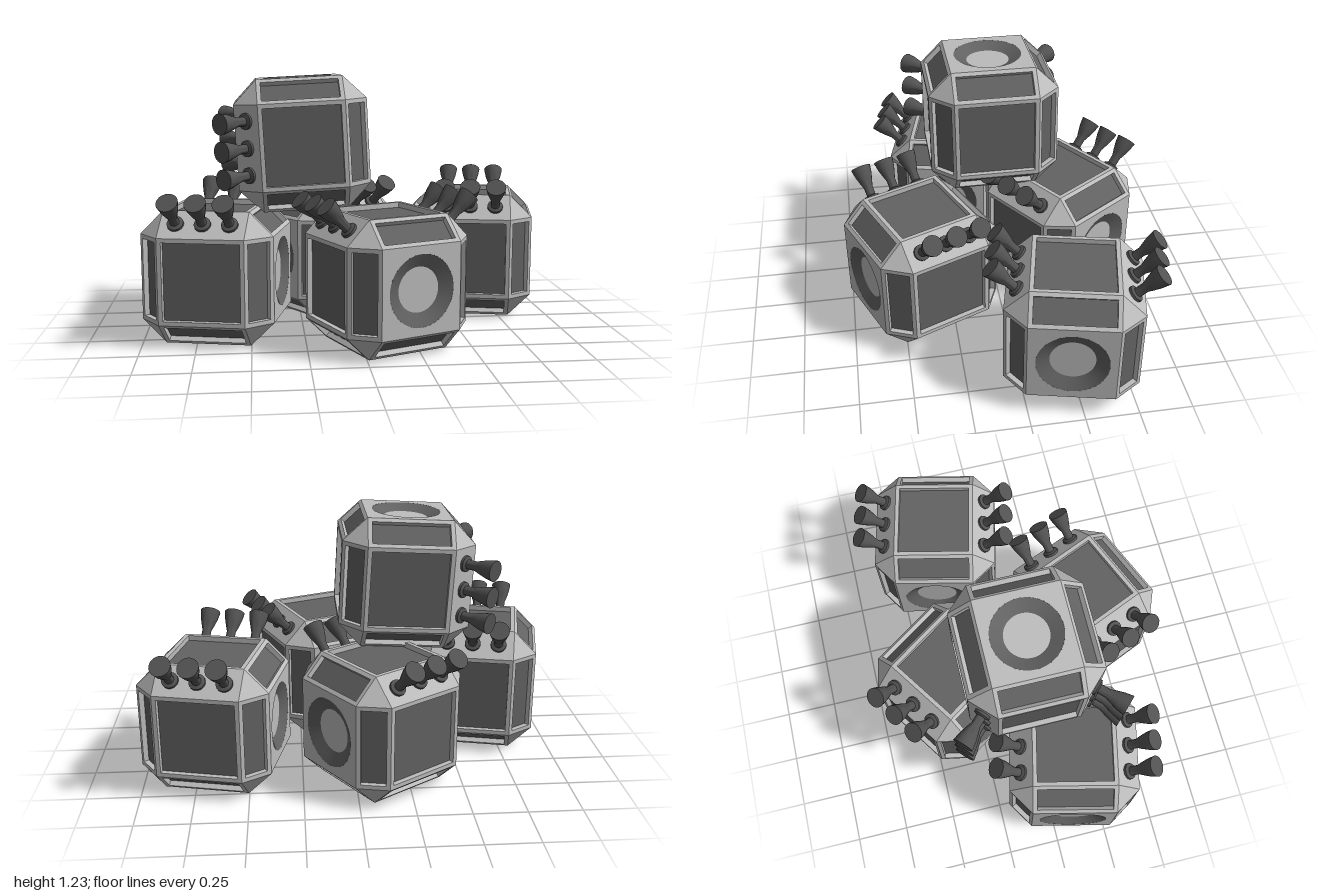
import * as THREE from 'three';
import { toCreasedNormals } from 'three/addons/utils/BufferGeometryUtils.js';

const H = 0.31;      // half size of a pod
const F = 0.2;       // half size of its flat faces
const RIM = 0.02;    // frame width
const DEPTH = 0.027; // panel recess
const CHAMFER = (H - F) * Math.SQRT1_2; // half width of a bevelled edge
const EDGE_DIST = (H + F) * Math.SQRT1_2; // centre to bevelled edge

const mat = (name, color, side = THREE.FrontSide) => {
  const m = new THREE.MeshStandardMaterial({ color, side });
  m.name = name;
  return m;
};

function rectPoints(w, h) {
  return [[-w, -h], [w, -h], [w, h], [-w, h]].map(([x, y]) => new THREE.Vector2(x, y));
}

// Slab whose outer surface lies on z = 0
function slab(shape) {
  const g = new THREE.ExtrudeGeometry(shape, { depth: DEPTH, bevelEnabled: false, curveSegments: 32 });
  return g.translate(0, 0, -DEPTH);
}

function rectFrame(w, h) {
  const s = new THREE.Shape(rectPoints(w, h));
  s.holes.push(new THREE.Path(rectPoints(w - RIM, h - RIM)));
  return slab(s);
}

export function createModel() {
  const light = mat('light grey shell', 0xbdbdbd, THREE.DoubleSide);
  const dark = mat('dark grey panel', 0x626262, THREE.DoubleSide);
  const thruster = mat('charcoal nozzle', 0x525252);

  const add = (parent, name, geo, material) => {
    const m = new THREE.Mesh(geo, material);
    m.name = name;
    parent.add(m);
    return m;
  };

  // Shared geometries
  const faceFrame = rectFrame(F, F);
  const edgeFrame = rectFrame(F, CHAMFER);
  const facePanel = new THREE.PlaneGeometry(2 * F - RIM, 2 * F - RIM).translate(0, 0, -DEPTH + 0.002);
  const edgePanel = new THREE.PlaneGeometry(2 * F - RIM, 2 * CHAMFER - RIM).translate(0, 0, -DEPTH + 0.002);
  const edgePlate = new THREE.PlaneGeometry(2 * F, 2 * CHAMFER);
  const portShape = new THREE.Shape(rectPoints(F, F));
  portShape.holes.push(new THREE.Path().absarc(0, 0, 0.163, 0, Math.PI * 2, true));
  const portPlate = slab(portShape);
  const funnel = new THREE.CylinderGeometry(0.163, 0.102, 0.03, 40, 1, true)
    .rotateX(Math.PI / 2).translate(0, 0, -0.0152);
  const portDisc = new THREE.CircleGeometry(0.104, 40).translate(0, 0, -0.03);
  const nozzleProfile = [[0.038, 0], [0.038, 0.012], [0.022, 0.018], [0.022, 0.06],
    [0.032, 0.09], [0.042, 0.125], [0.049, 0.165], [0, 0.165]]
    .map(([r, y]) => new THREE.Vector2(r, y));
  const nozzle = toCreasedNormals(new THREE.LatheGeometry(nozzleProfile, 20), 0.7).rotateX(Math.PI / 2);

  // Triangular corner plates, one for each sign combination
  const cornerPoints = [];
  for (const x of [-1, 1]) for (const y of [-1, 1]) for (const z of [-1, 1]) {
    const a = [x * H, y * F, z * F], b = [x * F, y * H, z * F], c = [x * F, y * F, z * H];
    cornerPoints.push(...a, ...(x * y * z > 0 ? [...b, ...c] : [...c, ...b]));
  }
  const corners = new THREE.BufferGeometry();
  corners.setAttribute('position', new THREE.Float32BufferAttribute(cornerPoints, 3));
  corners.computeVertexNormals();

  // Group whose local z points outward and local x runs along the given axis
  function mount(parent, name, normal, along, dist) {
    const n = new THREE.Vector3(...normal).normalize();
    const x = new THREE.Vector3(...along);
    const g = new THREE.Group();
    g.name = name;
    g.quaternion.setFromRotationMatrix(new THREE.Matrix4().makeBasis(x, n.clone().cross(x), n));
    g.position.copy(n).multiplyScalar(dist);
    parent.add(g);
    return g;
  }

  function makePod(name) {
    const pod = new THREE.Group();
    pod.name = name;
    add(pod, 'cornerPlates', corners, light);

    // Recessed square panels and round ports
    for (const s of [-1, 1]) {
      for (const n of [[0, s, 0], [0, 0, s]]) {
        const g = mount(pod, 'squareFace', n, [1, 0, 0], H);
        add(g, 'faceFrame', faceFrame, light);
        add(g, 'facePanel', facePanel, dark);
      }
      const p = mount(pod, 'roundPort', [s, 0, 0], [0, 1, 0], H);
      add(p, 'portPlate', portPlate, light);
      add(p, 'portFunnel', funnel, dark);
      add(p, 'portDisc', portDisc, light);
    }

    // Bevelled edges; the two upper long ones carry the nozzles
    for (const a of [-1, 1]) for (const b of [-1, 1]) {
      const edges = [[[0, a, b], [1, 0, 0]], [[a, 0, b], [0, 1, 0]], [[a, b, 0], [0, 0, 1]]];
      edges.forEach(([normal, along], i) => {
        const g = mount(pod, 'bevelledEdge', normal, along, EDGE_DIST);
        if (i === 0 && a > 0) {
          add(g, 'nozzlePlate', edgePlate, light);
          for (const k of [-1, 0, 1]) add(g, 'nozzle', nozzle, thruster).position.x = k * 0.125;
        } else {
          add(g, 'edgeFrame', edgeFrame, light);
          add(g, 'edgePanel', edgePanel, dark);
        }
      });
    }
    return pod;
  }

  // Four pods on the ground and one stacked on its side
  const model = new THREE.Group();
  model.name = 'podCluster';
  const rad = THREE.MathUtils.degToRad;
  const ground = [
    ['leftPod', 0.654, -0.255, 13],
    ['rightPod', -0.653, 0.145, 13],
    ['frontPod', 0.115, 0.393, 67],
    ['backPod', -0.124, -0.345, -34],
  ];
  for (const [name, x, z, yaw] of ground) {
    const pod = makePod(name);
    pod.position.set(x, H, z);
    pod.rotation.y = -rad(yaw);
    model.add(pod);
  }
  const top = makePod('topPod');
  top.position.set(-0.25, 0.907, 0);
  top.rotation.z = rad(93);
  model.add(top);
  return model;
}
